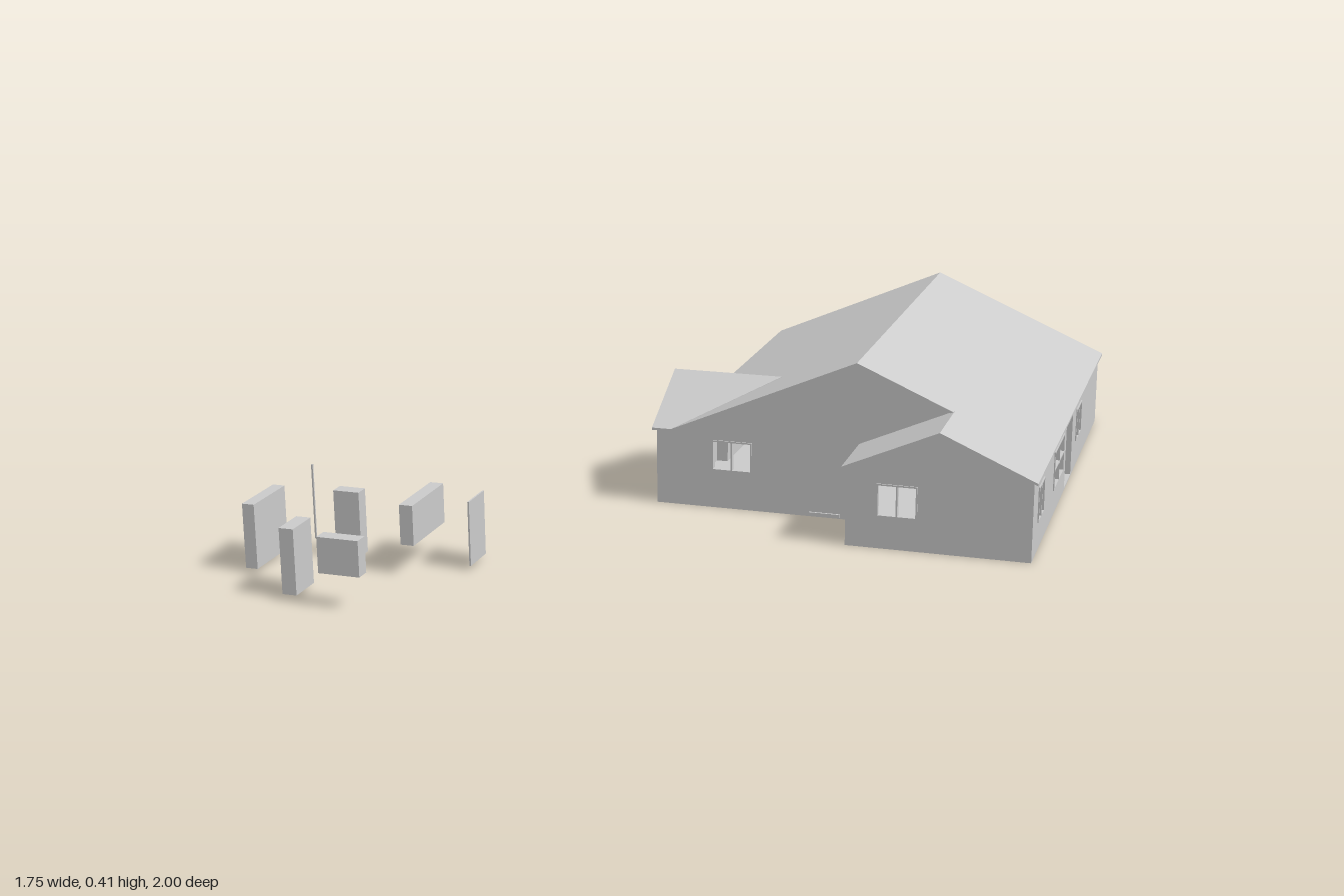
import * as THREE from 'three';

const T = 0.03;        // wall thickness
const EAVE = 0.198;    // wall height under the roof
const PEAK = 0.402, WING_PEAK = 0.298;
const mat = new THREE.MeshStandardMaterial({ color: 0xcccccc, flatShading: true, side: THREE.DoubleSide });

function add(parent, name, geometry) {
  const mesh = new THREE.Mesh(geometry, mat);
  mesh.name = name;
  parent.add(mesh);
  return mesh;
}

// Box given by its minimum and maximum corners
function box(parent, name, [x0, y0, z0], [x1, y1, z1]) {
  const mesh = add(parent, name, new THREE.BoxGeometry(x1 - x0, y1 - y0, z1 - z0));
  mesh.position.set((x0 + x1) / 2, (y0 + y1) / 2, (z0 + z1) / 2);
  return mesh;
}

// Window frame with a mullion and an optional transom, in wall coordinates
function windowFrame(parent, [u0, u1, y0, y1, transom]) {
  const g = new THREE.Group();
  g.name = 'windowFrame';
  const b = 0.004, back = -0.012, front = 0.003, mid = (u0 + u1) / 2;
  for (const u of [u0, mid - b / 2, u1 - b]) box(g, 'frameUpright', [u, y0, back], [u + b, y1, front]);
  const rails = [y0, y1 - b];
  if (transom) rails.push((y0 + y1) / 2);
  for (const y of rails) box(g, 'frameRail', [u0, y, back], [u1, y + b, front]);
  parent.add(g);
}

// Wall panel: runs to the right as seen from outside, starting at (x, z)
function wall(parent, name, x, z, turns, outline, windows = []) {
  const g = new THREE.Group();
  g.name = name;
  const shape = new THREE.Shape(outline.map(p => new THREE.Vector2(...p)));
  for (const [u0, u1, y0, y1] of windows) {
    shape.holes.push(new THREE.Path([[u0, y0], [u0, y1], [u1, y1], [u1, y0]].map(p => new THREE.Vector2(...p))));
  }
  const geo = new THREE.ExtrudeGeometry(shape, { depth: T, bevelEnabled: false });
  geo.translate(0, 0, -T);
  add(g, name + 'Panel', geo);
  windows.forEach(w => windowFrame(g, w));
  g.position.set(x, 0, z);
  g.rotation.y = turns * Math.PI / 2;
  parent.add(g);
}

const plain = l => [[0, 0], [l, 0], [l, EAVE], [0, EAVE]];
const gable = (l, peak) => [[0, 0], [l, 0], [l, EAVE], [l / 2, peak], [0, EAVE]];

// Thin roof slab on a four-cornered plane
function slab(parent, name, corners) {
  const h = 0.006;
  const top = corners, low = corners.map(([x, y, z]) => [x, y - h, z]);
  const pos = [];
  const quad = (a, b, c, d) => pos.push(...a, ...b, ...c, ...a, ...c, ...d);
  quad(...top);
  quad(low[3], low[2], low[1], low[0]);
  for (let i = 0; i < 4; i++) {
    const j = (i + 1) % 4;
    quad(top[i], low[i], low[j], top[j]);
  }
  const geo = new THREE.BufferGeometry();
  geo.setAttribute('position', new THREE.Float32BufferAttribute(pos, 3));
  geo.computeVertexNormals();
  add(parent, name, geo);
}

export function createModel() {
  const model = new THREE.Group();
  model.name = 'bungalow';
  const house = new THREE.Group();
  house.name = 'house';
  model.add(house);

  // Floor
  const plan = [[-0.12, 0.08], [0.415, 0.08], [0.415, 0.265], [0.865, 0.265], [0.865, -0.99],
    [-0.07, -0.99], [-0.07, -0.29], [-0.12, -0.29]];
  const floor = new THREE.ExtrudeGeometry(new THREE.Shape(plan.map(([x, z]) => new THREE.Vector2(x, -z))),
    { depth: 0.005, bevelEnabled: false });
  floor.rotateX(-Math.PI / 2);
  add(house, 'floor', floor);

  // Outer walls, going round the plan
  wall(house, 'frontWall', -0.12, 0.08, 0,
    [[0, 0], [0.535, 0], [0.535, EAVE], [0.76, WING_PEAK], [0.5175, PEAK], [0.05, EAVE], [0, EAVE]],
    [[0.145, 0.25, 0.098, 0.178]]);
  wall(house, 'frontWingSideWall', 0.415, 0.08, -1, plain(0.185));
  wall(house, 'frontWingGable', 0.415, 0.265, 0, gable(0.45, WING_PEAK), [[0.075, 0.175, 0.08, 0.163]]);
  wall(house, 'sideWallFront', 0.865, 0.265, 1, plain(0.58),
    [[0.078, 0.169, 0.075, 0.163], [0.35, 0.525, 0.07, 0.17, true]]);
  wall(house, 'sideWallBack', 0.865, -0.44, 1, plain(0.55), [[0.075, 0.175, 0.075, 0.163]]);
  wall(house, 'backGable', 0.865, -0.99, 2, gable(0.935, PEAK), [[0.475, 0.575, 0.08, 0.165]]);
  wall(house, 'leftWall', -0.07, -0.99, -1, plain(0.70));
  wall(house, 'sideWingReturn', -0.07, -0.29, 2, plain(0.05));
  wall(house, 'sideWingGable', -0.12, -0.29, -1, gable(0.37, WING_PEAK), [[0.19, 0.295, 0.098, 0.185]]);

  // Entrance recess
  wall(house, 'recessFrontSide', 0.865, -0.315, 2, plain(0.06));
  wall(house, 'recessBack', 0.805, -0.315, 1, plain(0.125));
  wall(house, 'recessBackSide', 0.805, -0.44, 0, plain(0.06));
  box(house, 'entranceThreshold', [0.805, 0, -0.43], [0.845, 0.01, -0.335]);
  box(house, 'frontThreshold', [0.28, 0.004, 0.05], [0.36, 0.012, 0.085]);

  // Main roof and front wing roof
  const rx = 0.3975, ry = 0.408, ey = 0.2;
  slab(house, 'mainRoofLeft', [[-0.08, ey, 0.09], [rx, ry, 0.09], [rx, ry, -1], [-0.08, ey, -1]]);
  slab(house, 'mainRoofRight', [[rx, ry, 0.09], [0.875, ey, 0.09], [0.875, ey, -1], [rx, ry, -1]]);
  const wy = 0.3035;
  slab(house, 'frontWingRoofRight', [[0.64, wy, 0.275], [0.875, ey, 0.275], [0.875, ey, 0.09], [0.64, wy, 0.09]]);
  slab(house, 'frontWingRoofLeft', [[0.405, ey, 0.275], [0.64, wy, 0.275], [0.64, wy, 0.08], [0.405, ey, 0.08]]);

  // Side wing roof, meeting the main roof along two valleys
  const ridgeOut = [-0.13, 0.305, -0.105], ridgeIn = [0.158, 0.305, -0.105];
  slab(house, 'sideWingRoofFront', [[-0.13, ey, 0.09], [-0.08, ey, 0.09], ridgeIn, ridgeOut]);
  slab(house, 'sideWingRoofBack', [ridgeOut, ridgeIn, [-0.08, ey, -0.30], [-0.13, ey, -0.30]]);

  // Loose blocks beside the house
  const blocks = new THREE.Group();
  blocks.name = 'looseBlocks';
  model.add(blocks);
  box(blocks, 'wideDoorBlock', [-0.877, 0.01, 0.695], [-0.847, 0.167, 0.845]);
  box(blocks, 'doorBlock', [-0.72, 0.01, 0.66], [-0.655, 0.167, 0.695]);
  box(blocks, 'narrowDoorBlock', [-0.715, 0.01, 0.89], [-0.68, 0.167, 0.975]);
  box(blocks, 'wideWindowBlock', [-0.523, 0.073, 0.58], [-0.49, 0.17, 0.757]);
  box(blocks, 'windowBlock', [-0.61, 0.08, 0.965], [-0.51, 0.165, 1]);
  box(blocks, 'doorLeaf', [-0.384, 0.01, 0.595], [-0.38, 0.167, 0.685]);
  box(blocks, 'pole', [-0.818, 0.01, 0.608], [-0.814, 0.197, 0.612]);
  return model;
}
